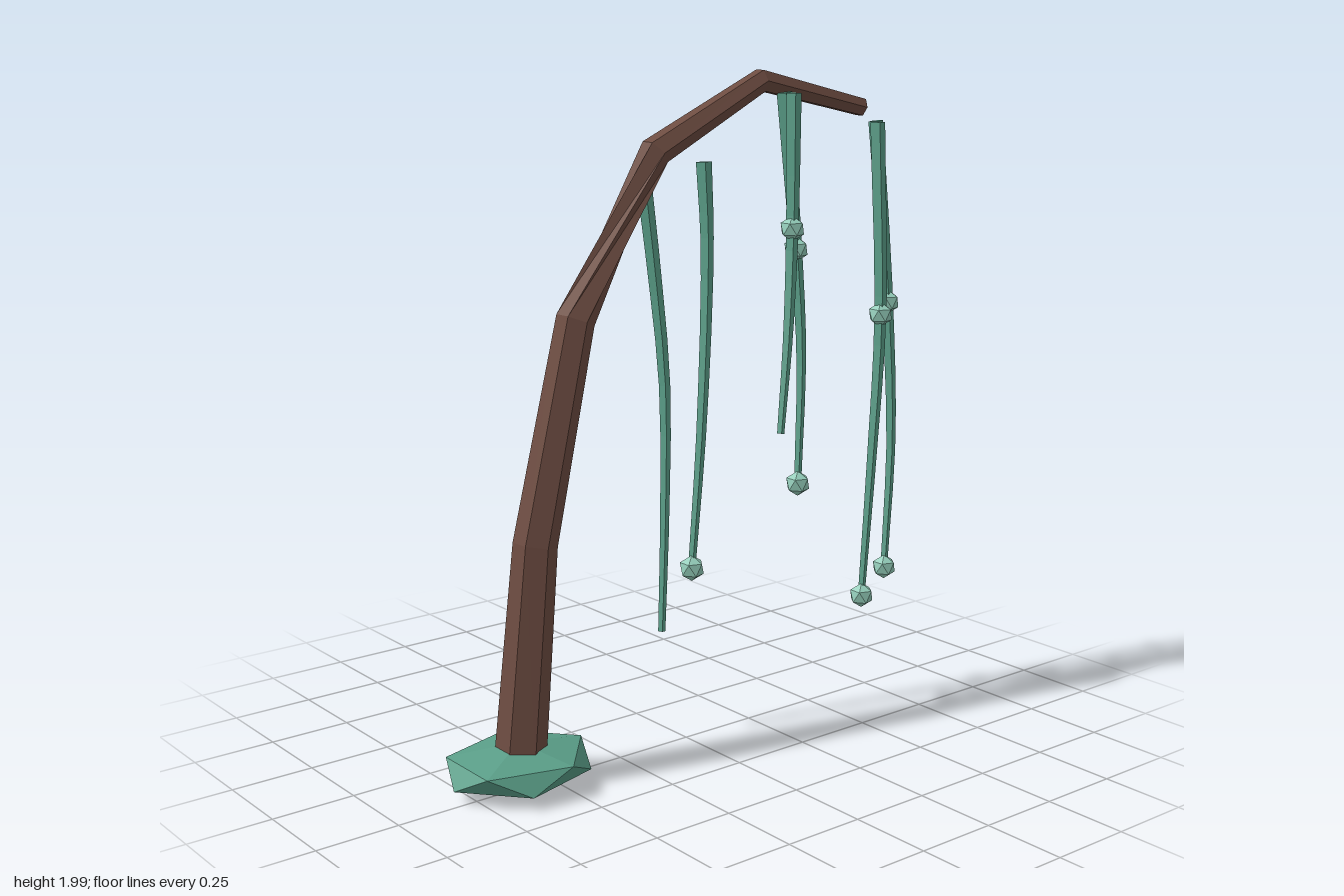
import * as THREE from 'three';

const mat = (name, color) => {
  const m = new THREE.MeshStandardMaterial({ color });
  m.name = name;
  return m;
};
const V = (p) => new THREE.Vector3(...p);

// Faceted, capped sweep through points; twists turns each ring about the path
function sweep(pts, radii, sides, twists = []) {
  const pos = [], idx = [], n = pts.length;
  pts.forEach((p, i) => {
    const T = pts[Math.min(i + 1, n - 1)].clone().sub(pts[Math.max(i - 1, 0)]).normalize();
    const N = new THREE.Vector3(0, 0, 1).addScaledVector(T, -T.z).normalize();
    const B = T.clone().cross(N);
    for (let j = 0; j < sides; j++) {
      const a = (j / sides) * Math.PI * 2 + (twists[i] || 0);
      const q = p.clone().addScaledVector(N, radii[i] * Math.cos(a)).addScaledVector(B, radii[i] * Math.sin(a));
      pos.push(q.x, q.y, q.z);
    }
  });
  const first = n * sides, last = first + 1;
  pos.push(...pts[0].toArray(), ...pts[n - 1].toArray());
  for (let j = 0; j < sides; j++) {
    const k = (j + 1) % sides, e = (n - 1) * sides;
    for (let i = 0; i < n - 1; i++) {
      const a = i * sides + j, b = i * sides + k, c = b + sides, d = a + sides;
      idx.push(a, b, d, b, c, d);
    }
    idx.push(first, k, j, last, e + j, e + k);
  }
  const g = new THREE.BufferGeometry();
  g.setAttribute('position', new THREE.Float32BufferAttribute(pos, 3));
  g.setIndex(idx);
  const flat = g.toNonIndexed();
  flat.computeVertexNormals();
  return flat;
}

// Icosahedron standing on a vertex, scaled on each axis
function gem(rx, ry, rz) {
  const g = new THREE.IcosahedronGeometry(1, 0);
  g.rotateZ(Math.atan2(1, (1 + Math.sqrt(5)) / 2)); // one vertex to the top
  g.rotateY(Math.PI); // upper ring points along +x
  const p = g.attributes.position;
  // make sure an upper-ring vertex lies on +x
  let turn = 0;
  for (let i = 0; i < p.count; i++) {
    if (p.getY(i) > 0.3 && p.getY(i) < 0.6) { turn = Math.atan2(p.getZ(i), p.getX(i)); break; }
  }
  g.rotateY(turn);
  g.scale(rx, ry, rz);
  g.computeVertexNormals();
  return g;
}

export function createModel() {
  const root = new THREE.Group();
  root.name = 'weepingTree';
  const bark = mat('brown bark', 0x6d4c41);
  const leaf = mat('teal leaf', 0x5a9e88);
  const bud = mat('pale teal bud', 0x93ccb9);
  const vein = mat('amber vein', 0xc8964f);

  const add = (name, geometry, material, parent = root) => {
    const m = new THREE.Mesh(geometry, material);
    m.name = name;
    parent.add(m);
    return m;
  };

  // Squashed mossy base
  add('base', gem(0.243, 0.065, 0.205), leaf).position.set(-0.592, 0.07, -0.023);

  // Arching trunk, twisted between its third and fourth joints
  const t = Math.PI * 2 / 3;
  add('trunk', sweep(
    [[-0.59, 0.07, -0.02], [-0.515, 0.7, -0.035], [-0.355, 1.32, -0.052],
      [-0.08, 1.775, -0.04], [0.3, 1.965, -0.025], [0.675, 1.877, 0.01]].map(V),
    [0.075, 0.064, 0.056, 0.046, 0.036, 0.029], 6, [0, 0, 0, t, t, t]), bark);

  // Thin vein along the back of the branch
  add('branchVein', sweep([[0.3, 1.972, -0.058], [0.67, 1.887, -0.016]].map(V), [0.004, 0.004], 4), vein);

  // Hanging strands: path from top to tip, and where the buds sit
  const strands = [
    { path: [[-0.06, 1.745, -0.132], [-0.02, 1.42, -0.125], [0.002, 1.08, -0.105], [-0.018, 0.7, -0.08], [-0.05, 0.34, -0.055]], buds: [] },
    { path: [[0.04, 1.745, 0.03], [0.045, 1.5, 0.04], [0.002, 1.0, 0.07], [-0.055, 0.575, 0.095]], buds: [3] },
    { path: [[0.358, 1.93, 0.055], [0.352, 1.535, 0.062], [0.315, 1.22, 0.09], [0.268, 0.935, 0.115]], buds: [1] },
    { path: [[0.365, 1.93, 0.005], [0.41, 1.465, 0.015], [0.41, 1.15, 0.045], [0.368, 0.76, 0.083]], buds: [1, 3] },
    { path: [[0.667, 1.835, 0.09], [0.662, 1.255, 0.125], [0.62, 0.8, 0.143], [0.574, 0.382, 0.158]], buds: [1, 3] },
    { path: [[0.717, 1.835, 0.03], [0.765, 1.275, 0.05], [0.768, 0.85, 0.078], [0.72, 0.435, 0.108]], buds: [1, 3] },
  ];
  const budGeometry = gem(0.039, 0.039, 0.039);
  strands.forEach(({ path, buds }, s) => {
    const group = new THREE.Group();
    group.name = `hangingStrand${s + 1}`;
    root.add(group);
    const pts = new THREE.CatmullRomCurve3(path.map(V)).getPoints(10);
    add('strand', sweep(pts, pts.map((_, i) => 0.023 - 0.0012 * i), 4, pts.map(() => 0.5)), leaf, group);
    buds.forEach((i) => add('bud', budGeometry, bud, group).position.set(...path[i]));
  });
  return root;
}
